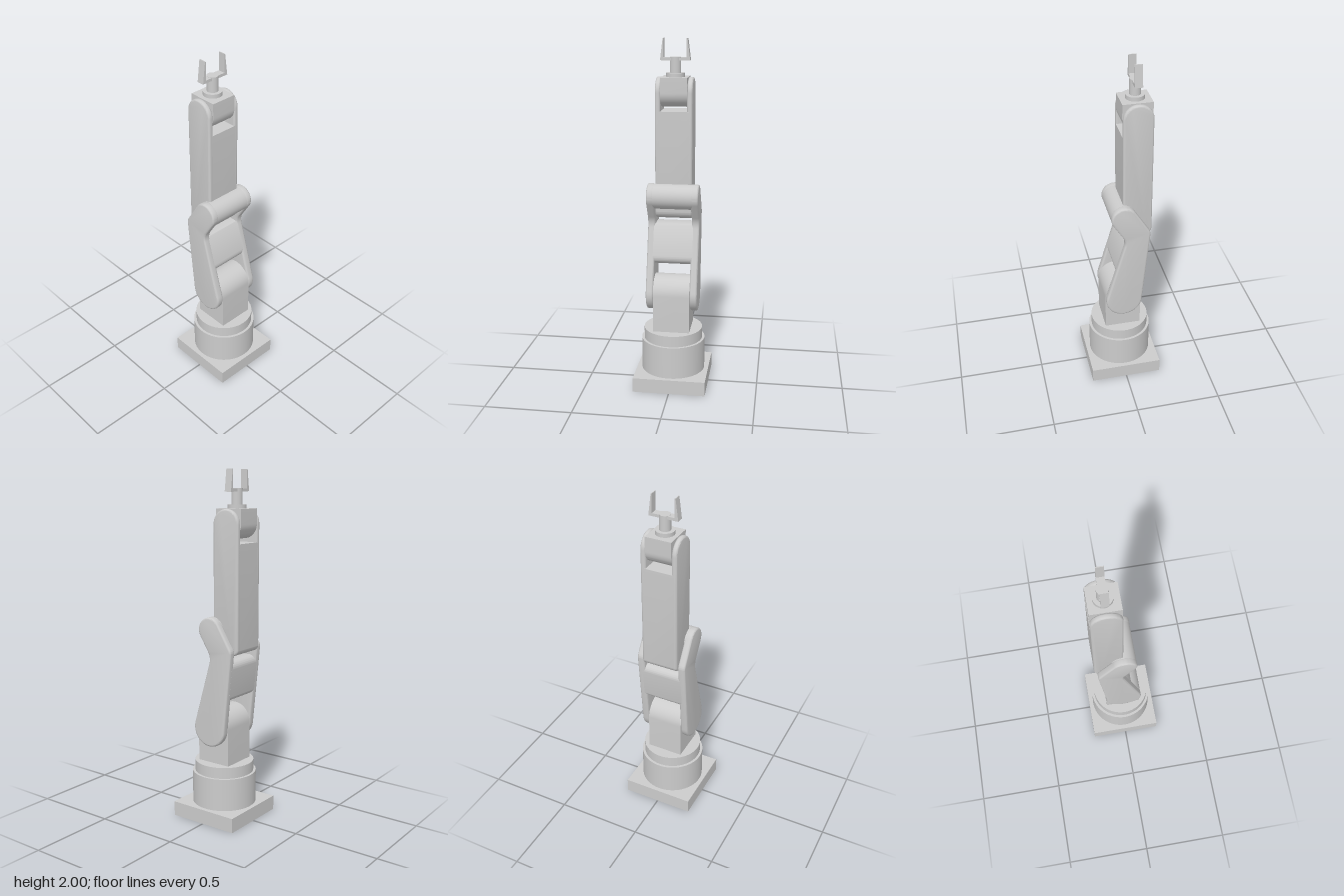
import * as THREE from 'three';
import { toCreasedNormals } from 'three/addons/utils/BufferGeometryUtils.js';

const material = new THREE.MeshStandardMaterial({ color: 0xcccccc });

// Closed outline from corners [u, y, radius], each corner rounded by a true arc.
function roundedShape(corners) {
  const points = [];
  corners.forEach(([u, y, r = 0], i) => {
    const p = new THREE.Vector2(u, y);
    if (!r) return points.push(p);
    const prev = corners.at(i - 1), next = corners[(i + 1) % corners.length];
    const a = new THREE.Vector2(prev[0], prev[1]).sub(p).normalize();
    const b = new THREE.Vector2(next[0], next[1]).sub(p).normalize();
    const half = Math.acos(a.dot(b)) / 2;
    const t = r / Math.tan(half);
    const centre = a.clone().add(b).setLength(r / Math.sin(half)).add(p);
    const start = a.multiplyScalar(t).add(p).sub(centre);
    const end = b.multiplyScalar(t).add(p).sub(centre);
    const sweep = Math.atan2(start.cross(end), start.dot(end));
    const steps = Math.max(3, Math.ceil(Math.abs(sweep) / 0.13));
    for (let k = 0; k <= steps; k++) {
      points.push(start.clone().rotateAround(new THREE.Vector2(), sweep * k / steps).add(centre));
    }
  });
  return new THREE.Shape(points);
}

function add(parent, name, geometry, x = 0, y = 0, z = 0) {
  const mesh = new THREE.Mesh(geometry, material);
  mesh.name = name;
  mesh.position.set(x, y, z);
  parent.add(mesh);
  return mesh;
}

// Side profile (u points to the back, y up) extruded across x from x0 to x1.
function profile(parent, name, corners, x0, x1, bevel = 0) {
  const geometry = new THREE.ExtrudeGeometry(roundedShape(corners), {
    depth: x1 - x0 - 2 * bevel, bevelEnabled: bevel > 0,
    bevelThickness: bevel, bevelSize: bevel, bevelOffset: -bevel, bevelSegments: 3,
  });
  geometry.rotateY(Math.PI / 2).translate(x0 + bevel, 0, 0);
  return add(parent, name, toCreasedNormals(geometry, 0.6));
}

function platePair(parent, name, corners, inner, outer, bevel) {
  profile(parent, name + 'Left', corners, inner, outer, bevel);
  profile(parent, name + 'Right', corners, -outer, -inner, bevel);
}

function disc(parent, name, radius, y0, y1, z = 0) {
  add(parent, name, new THREE.CylinderGeometry(radius, radius, y1 - y0, 64), 0, (y0 + y1) / 2, z);
}

function section(parent, name) {
  const group = new THREE.Group();
  group.name = name;
  parent.add(group);
  return group;
}

export function createModel() {
  const model = new THREE.Group();
  model.name = 'robotArm';

  // Base and turntable
  const base = section(model, 'base');
  add(base, 'basePlate', new THREE.BoxGeometry(0.42, 0.085, 0.42), 0, 0.0425, 0);
  disc(base, 'baseDrum', 0.185, 0.085, 0.275);
  disc(base, 'turntable', 0.17, 0.275, 0.34);
  profile(base, 'shoulderBlock', [
    [-0.105, 0.34], [0.105, 0.34], [0.105, 0.66, 0.1045], [-0.105, 0.66, 0.1045],
  ], -0.105, 0.105);

  // Lower arm: two cranked plates joined by a middle web and an elbow bar
  const lower = section(model, 'lowerArm');
  platePair(lower, 'lowerArmPlate', [
    [-0.14, 0.45, 0.105], [0.095, 0.45, 0.105], [0.151, 1.02, 0.05],
    [0.023, 1.224, 0.071], [-0.099, 1.148, 0.071], [0.011, 0.972, 0.08],
  ], 0.105, 0.148, 0.01);
  profile(lower, 'lowerArmWeb', [
    [-0.059, 0.73, 0.04], [0.123, 0.73, 0.03], [0.145, 0.96, 0.04], [0.008, 0.96, 0.01],
  ], -0.12, 0.12);
  const bar = new THREE.CylinderGeometry(0.0715, 0.0715, 0.25, 48).rotateZ(Math.PI / 2);
  add(lower, 'elbowBar', bar, 0, 1.125, 0);

  // Upper arm: solid core between plates that fork around the wrist
  const upper = section(model, 'upperArm');
  platePair(upper, 'upperArmPlate', [
    [0, 0.99, 0.05], [0.166, 0.99, 0.035], [0.166, 1.79, 0.0825], [0, 1.79, 0.0825],
  ], 0.075, 0.105, 0.01);
  profile(upper, 'upperArmCore', [
    [0, 0.99, 0.05], [0.166, 0.99, 0.035], [0.166, 1.605], [0, 1.605],
  ], -0.09, 0.09);

  // Wrist
  const wrist = section(model, 'wrist');
  profile(wrist, 'wristBlock', [
    [0, 1.625, 0.082], [0.166, 1.625, 0.082], [0.166, 1.79], [0, 1.79],
  ], -0.075, 0.075);
  disc(wrist, 'wristFlange', 0.052, 1.79, 1.812, -0.085);
  disc(wrist, 'wristStem', 0.031, 1.812, 1.898, -0.085);

  // Two-finger gripper with tapering fingers
  const gripper = roundedShape([
    [-0.084, 1.88], [0.084, 1.88], [0.069, 2], [0.064, 2],
    [0.064, 1.896], [-0.064, 1.896], [-0.064, 2], [-0.069, 2],
  ]);
  add(model, 'gripper', new THREE.ExtrudeGeometry(gripper, { depth: 0.042, bevelEnabled: false }), 0, 0, -0.106);

  return model;
}
